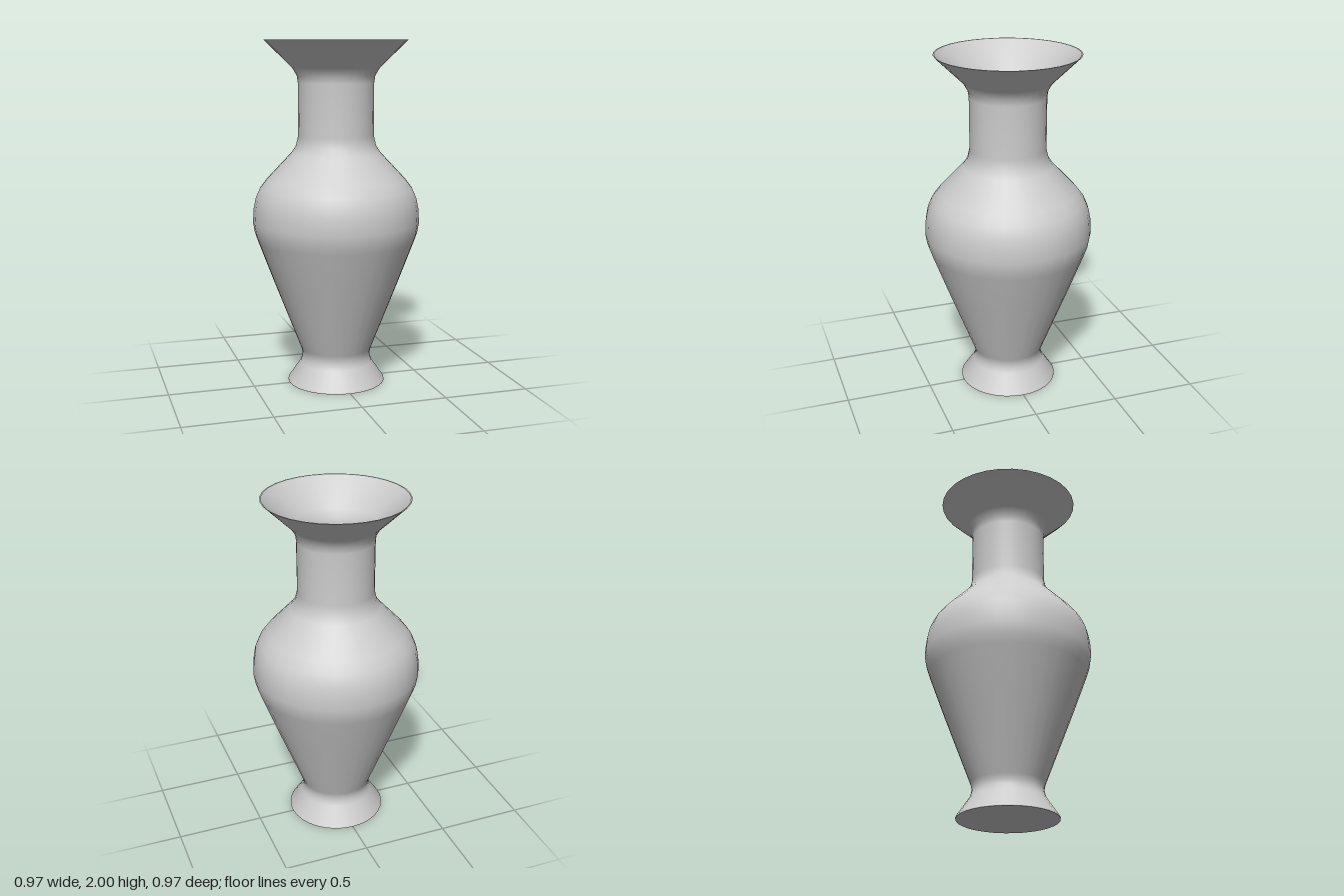
import * as THREE from 'three';

const SEGMENTS = 32;
const WALL = 0.013;

// Outer silhouette, foot to lip: [radius, height]
const PROFILE = [
  [0.285, 0], [0.285, 0.008], [0.212, 0.115], [0.202, 0.145], [0.2, 0.17], [0.207, 0.2],
  [0.37, 0.62], [0.456, 0.85], [0.473, 0.9], [0.483, 0.96], [0.478, 1.04],
  [0.466, 1.1], [0.442, 1.155], [0.4, 1.21], [0.258, 1.36], [0.232, 1.4],
  [0.218, 1.46], [0.218, 1.76], [0.224, 1.8], [0.25, 1.845], [0.41, 2],
].map(([r, y]) => new THREE.Vector2(r, y));

// Shift the silhouette inward along its normals to get the inside of the wall
function insetProfile(points, distance) {
  return points.map((p, i) => {
    const before = points[Math.max(i - 1, 0)];
    const after = points[Math.min(i + 1, points.length - 1)];
    const t = after.clone().sub(before).normalize();
    return new THREE.Vector2(p.x - t.y * distance, p.y + t.x * distance);
  });
}

export function createModel() {
  const vase = new THREE.Group();
  vase.name = 'vase';
  const material = new THREE.MeshStandardMaterial({ color: 0xcccccc });

  const addRing = (name, points) => {
    const mesh = new THREE.Mesh(new THREE.LatheGeometry(points, SEGMENTS), material);
    mesh.name = name;
    vase.add(mesh);
  };

  const lip = PROFILE[PROFILE.length - 1];
  const innerLip = new THREE.Vector2(lip.x - 0.007, lip.y);
  const inner = insetProfile(PROFILE.slice(1), WALL);
  inner[0].set(0.262, WALL);
  inner[inner.length - 1].copy(innerLip);

  addRing('outerWall', PROFILE);
  addRing('rim', [lip, innerLip]);
  addRing('innerWall', inner.slice().reverse());

  // Closed underside and inside floor
  addRing('base', [new THREE.Vector2(0, 0), PROFILE[0]]);
  addRing('innerFloor', [inner[0], new THREE.Vector2(0, WALL)]);

  return vase;
}
